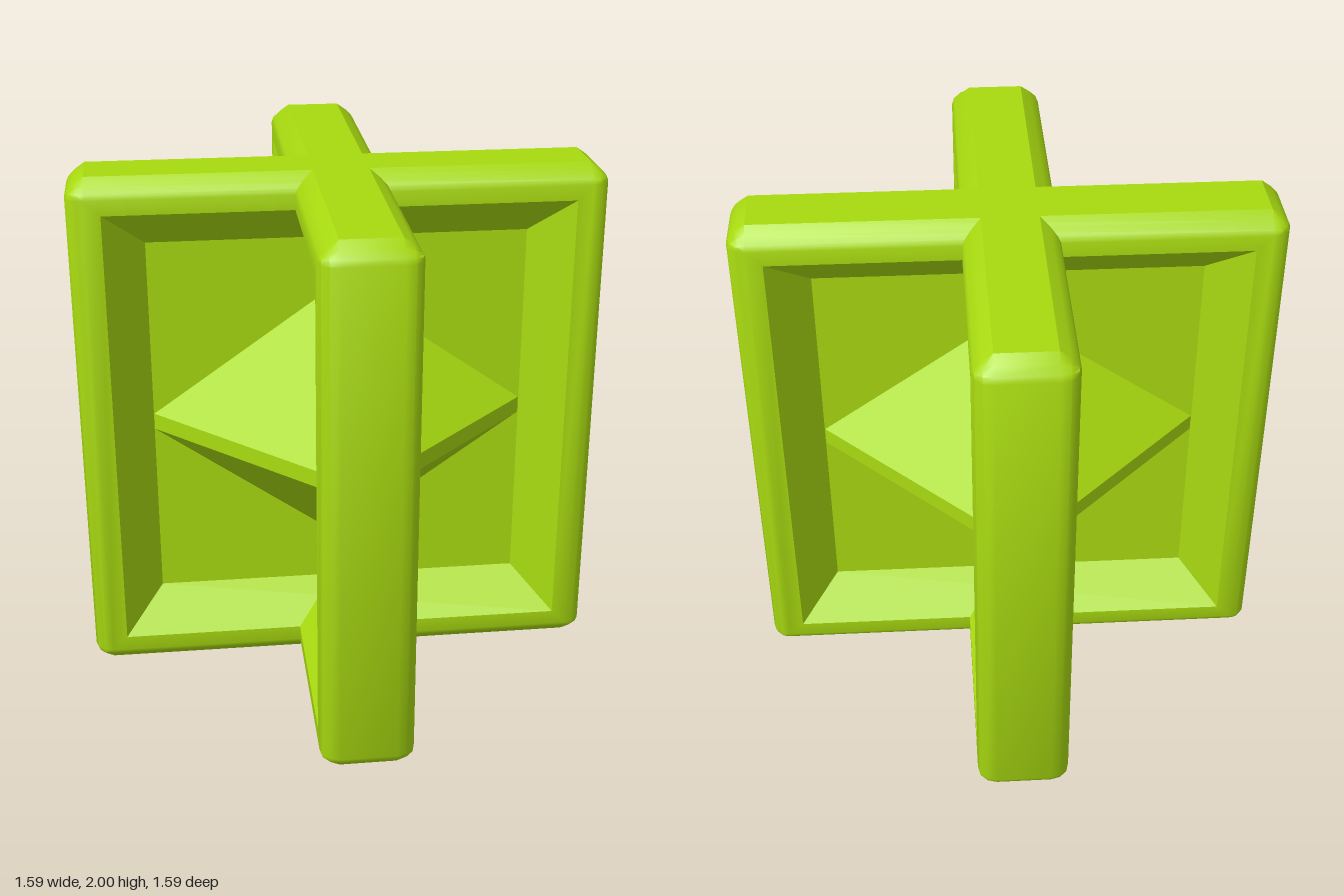
import * as THREE from 'three';
import { toCreasedNormals } from 'three/addons/utils/BufferGeometryUtils.js';

const HALF_W = 0.994, HALF_H = 1, HALF_T = 0.173; // one crossed panel
const R = 0.07;      // edge rounding
const WEB = 0.023;   // half thickness of the sunken web
const RIM = 0.127;   // width of the rim around the recess
const STEPS = 3;     // segments per rounded edge

// One rectangular loop of the panel, with rounded corners of the given radius.
function loop(inset, radius, z, dz) {
  const points = [];
  for (let c = 0; c < 4; c++) {
    const sx = c === 0 || c === 3 ? 1 : -1;
    const sy = c < 2 ? 1 : -1;
    for (let s = 0; s <= STEPS; s++) {
      const t = (c + s / STEPS) * Math.PI / 2;
      const dx = radius * Math.cos(t);
      let dy = radius * Math.sin(t);
      // flatten the top and bottom edges towards a chamfer
      const h = Math.hypot(dx, dz);
      const limit = Math.min(R, Math.max(0, 1.15 * R - h));
      if (radius > 0) dy = Math.sign(dy) * Math.min(Math.abs(dy), Math.max(limit, 0));
      points.push(new THREE.Vector3(
        sx * (HALF_W - inset - radius) + dx,
        sy * (HALF_H - inset - radius) + dy, z));
    }
  }
  return points;
}

// Panel with a bevelled rim and a 45 degree recess on both sides.
function panelGeometry() {
  const depth = HALF_T - WEB;
  const half = [
    Array.from({ length: 4 * (STEPS + 1) }, () => new THREE.Vector3(0, 0, WEB)),
    loop(RIM + depth, 0, WEB, 0),
    loop(RIM, 0, HALF_T, 0),
  ];
  for (let s = 0; s <= STEPS; s++) {
    const a = s / STEPS * Math.PI / 2;
    const radius = R * Math.sin(a), dz = R * Math.cos(a);
    half.push(loop(R - radius, radius, HALF_T - R + dz, dz));
  }
  const back = half.map(l => l.map(p => new THREE.Vector3(p.x, p.y, -p.z))).reverse();
  const loops = [...half, ...back];

  const positions = [];
  const tri = new THREE.Triangle();
  const add = (a, b, c) => {
    if (tri.set(a, b, c).getArea() > 1e-8) {
      for (const p of [a, b, c]) positions.push(p.x, p.y, p.z);
    }
  };
  for (let i = 0; i < loops.length - 1; i++) {
    const p = loops[i], q = loops[i + 1], n = p.length;
    for (let j = 0; j < n; j++) {
      const k = (j + 1) % n;
      add(p[j], q[j], q[k]);
      add(p[j], q[k], p[k]);
    }
  }
  const geometry = new THREE.BufferGeometry();
  geometry.setAttribute('position', new THREE.Float32BufferAttribute(positions, 3));
  return toCreasedNormals(geometry, THREE.MathUtils.degToRad(32));
}

// Square double pyramid with a short vertical band at its middle.
function coreGeometry() {
  const side = 0.522, band = 0.032;
  const profile = [
    [0, -band - side], [side * Math.SQRT2, -band],
    [side * Math.SQRT2, band], [0, band + side],
  ].map(([x, y]) => new THREE.Vector2(x, y));
  const geometry = new THREE.LatheGeometry(profile, 4, Math.PI / 4).toNonIndexed();
  geometry.computeVertexNormals();
  return geometry;
}

export function createModel() {
  const group = new THREE.Group();
  group.name = 'crossedPanels';

  const lime = new THREE.MeshStandardMaterial({ color: 0xa8da10 });
  lime.name = 'limeGreen';

  // two panels crossing on the diagonals
  const panel = panelGeometry();
  for (const [name, angle] of [['panelA', Math.PI / 4], ['panelB', -Math.PI / 4]]) {
    const mesh = new THREE.Mesh(panel, lime);
    mesh.name = name;
    mesh.rotation.y = angle;
    mesh.position.y = HALF_H;
    group.add(mesh);
  }

  // double pyramid in the middle
  const core = new THREE.Mesh(coreGeometry(), lime);
  core.name = 'doublePyramidCore';
  core.position.y = HALF_H;
  group.add(core);

  return group;
}
